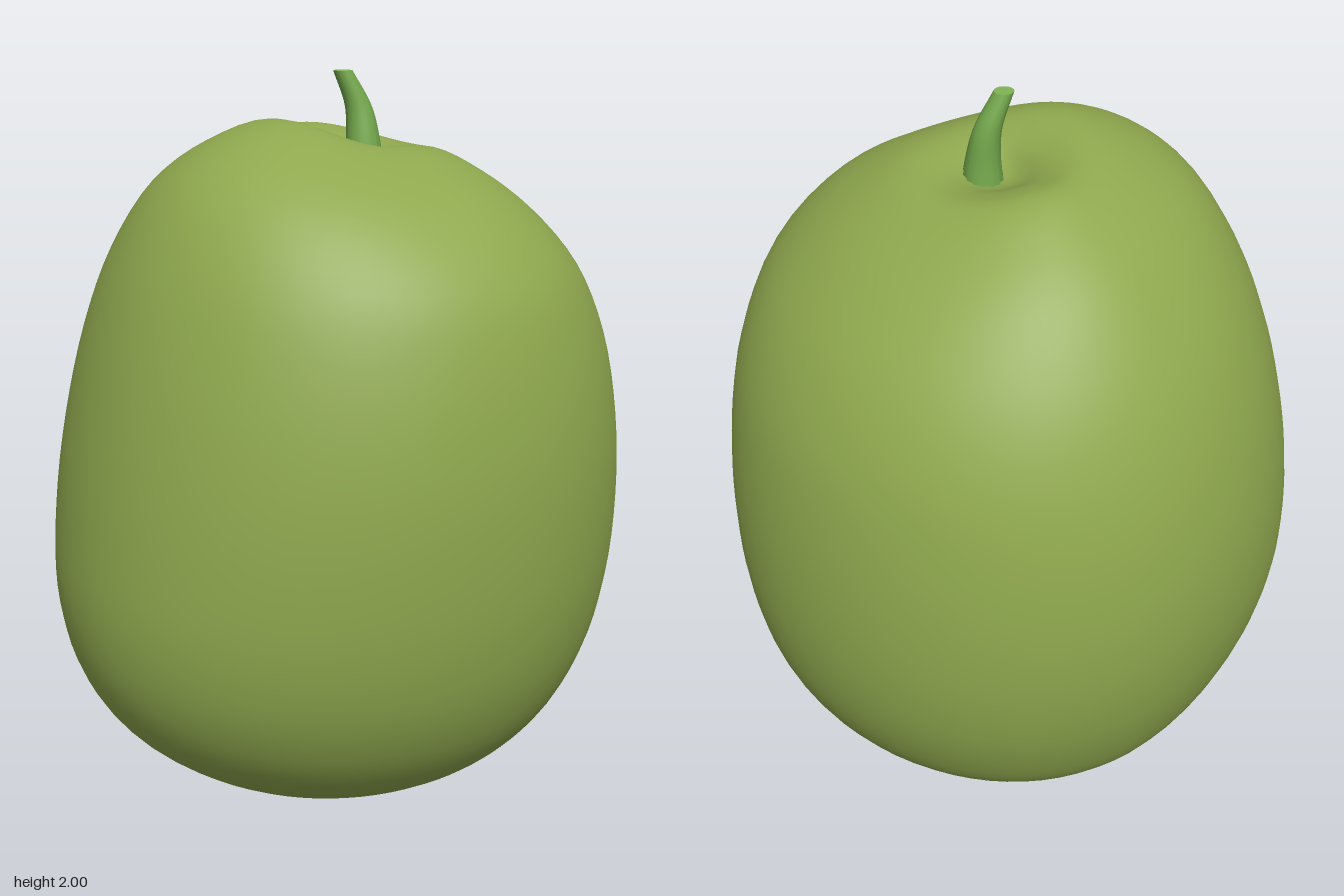
import * as THREE from 'three';
import { mergeVertices } from 'three/addons/utils/BufferGeometryUtils.js';

// Skin a stack of closed rings, bottom to top; point(j, angle) returns [x, y, z].
function loft(rows, sides, point) {
  const pos = [], index = [];
  for (let j = 0; j <= rows; j++) {
    for (let i = 0; i < sides; i++) pos.push(...point(j, (i / sides) * Math.PI * 2));
  }
  for (let j = 0; j < rows; j++) {
    for (let i = 0; i < sides; i++) {
      const k = (i + 1) % sides;
      const a = j * sides + i, b = a + sides, c = j * sides + k, d = c + sides;
      index.push(a, b, c, c, b, d);
    }
  }
  let geo = new THREE.BufferGeometry();
  geo.setAttribute('position', new THREE.Float32BufferAttribute(pos, 3));
  geo.setIndex(index);
  geo = mergeVertices(geo, 1e-5);
  geo.computeVertexNormals();
  return geo;
}

const curve = (pts) => new THREE.CatmullRomCurve3(pts.map(([x, y]) => new THREE.Vector3(x, y, 0)));

// Lopsided fruit: four outlines (distance from axis plane, height) blended around the axis
function bodyGeometry() {
  const px = 0.05, pz = 0.03;
  const right = curve([[px, 0], [-0.1, 0.018], [-0.3, 0.07], [-0.5, 0.17], [-0.66, 0.31], [-0.75, 0.47], [-0.785, 0.66],
    [-0.77, 0.88], [-0.73, 1.12], [-0.67, 1.36], [-0.59, 1.57], [-0.48, 1.74], [-0.33, 1.84], [-0.16, 1.885],
    [-0.06, 1.84], [0, 1.78], [px, 1.765]]);
  const left = curve([[px, 0], [0.17, 0.008], [0.33, 0.05], [0.5, 0.14], [0.64, 0.28], [0.73, 0.46], [0.773, 0.66],
    [0.78, 0.88], [0.757, 1.12], [0.71, 1.32], [0.62, 1.5], [0.5, 1.635], [0.38, 1.73], [0.26, 1.795],
    [0.17, 1.795], [0.1, 1.775], [px, 1.765]]);
  const front = curve([[pz, 0], [0.15, 0.017], [0.3, 0.06], [0.45, 0.14], [0.58, 0.27], [0.67, 0.44], [0.725, 0.65],
    [0.75, 0.9], [0.748, 1.12], [0.715, 1.34], [0.65, 1.53], [0.52, 1.68], [0.37, 1.775], [0.24, 1.82],
    [0.14, 1.81], [0.08, 1.775], [pz, 1.765]]);
  const back = curve([[pz, 0], [-0.15, 0.012], [-0.3, 0.05], [-0.45, 0.125], [-0.59, 0.26], [-0.68, 0.45], [-0.733, 0.66],
    [-0.75, 0.87], [-0.735, 1.08], [-0.685, 1.3], [-0.6, 1.5], [-0.47, 1.68], [-0.35, 1.78], [-0.22, 1.845],
    [-0.12, 1.825], [-0.03, 1.78], [pz, 1.765]]);
  const rows = 64;
  const sample = (c) => Array.from({ length: rows + 1 }, (_, j) => c.getPoint(j / rows));
  const [R, L, F, B] = [right, left, front, back].map(sample);
  return loft(rows, 72, (j, a) => {
    const c = Math.cos(a), s = Math.sin(a);
    const h = (c > 0 ? L : R)[j], v = (s > 0 ? F : B)[j];
    return [px + Math.abs(c) * (h.x - px), h.y * c * c + v.y * s * s, pz + Math.abs(s) * (v.x - pz)];
  });
}

// Bent, ribbed stem that narrows upwards and ends in a flat cut
function stemGeometry() {
  const path = new THREE.CatmullRomCurve3([
    new THREE.Vector3(0.06, 1.74, 0.062), new THREE.Vector3(0.06, 1.82, 0.06),
    new THREE.Vector3(0.053, 1.91, 0.048), new THREE.Vector3(0.015, 2, 0.032),
  ]);
  const rows = 14, sides = 28;
  return loft(rows, sides, (j, a) => {
    const t = j / rows, p = path.getPoint(t);
    const rib = 1 + 0.07 * (1 - t) * Math.cos((a * sides) / 2);
    const r = (0.053 - 0.028 * t) * rib;
    return [p.x + r * Math.cos(a), p.y, p.z + r * Math.sin(a)];
  });
}

export function createModel() {
  const model = new THREE.Group();
  model.name = 'fruit';
  const add = (name, geo, color, parent = model) => {
    const mesh = new THREE.Mesh(geo, new THREE.MeshStandardMaterial({ color }));
    mesh.name = name;
    parent.add(mesh);
    return mesh;
  };
  add('body', bodyGeometry(), 0x8fa84e);

  const stem = new THREE.Group();
  stem.name = 'stem';
  model.add(stem);
  add('stalk', stemGeometry(), 0x74a84c, stem);
  // Cut end of the stem
  const cap = add('stemCut', new THREE.CircleGeometry(0.025, 28), 0x7fb455, stem);
  cap.rotation.x = -Math.PI / 2;
  cap.position.set(0.015, 2, 0.032);
  return model;
}
